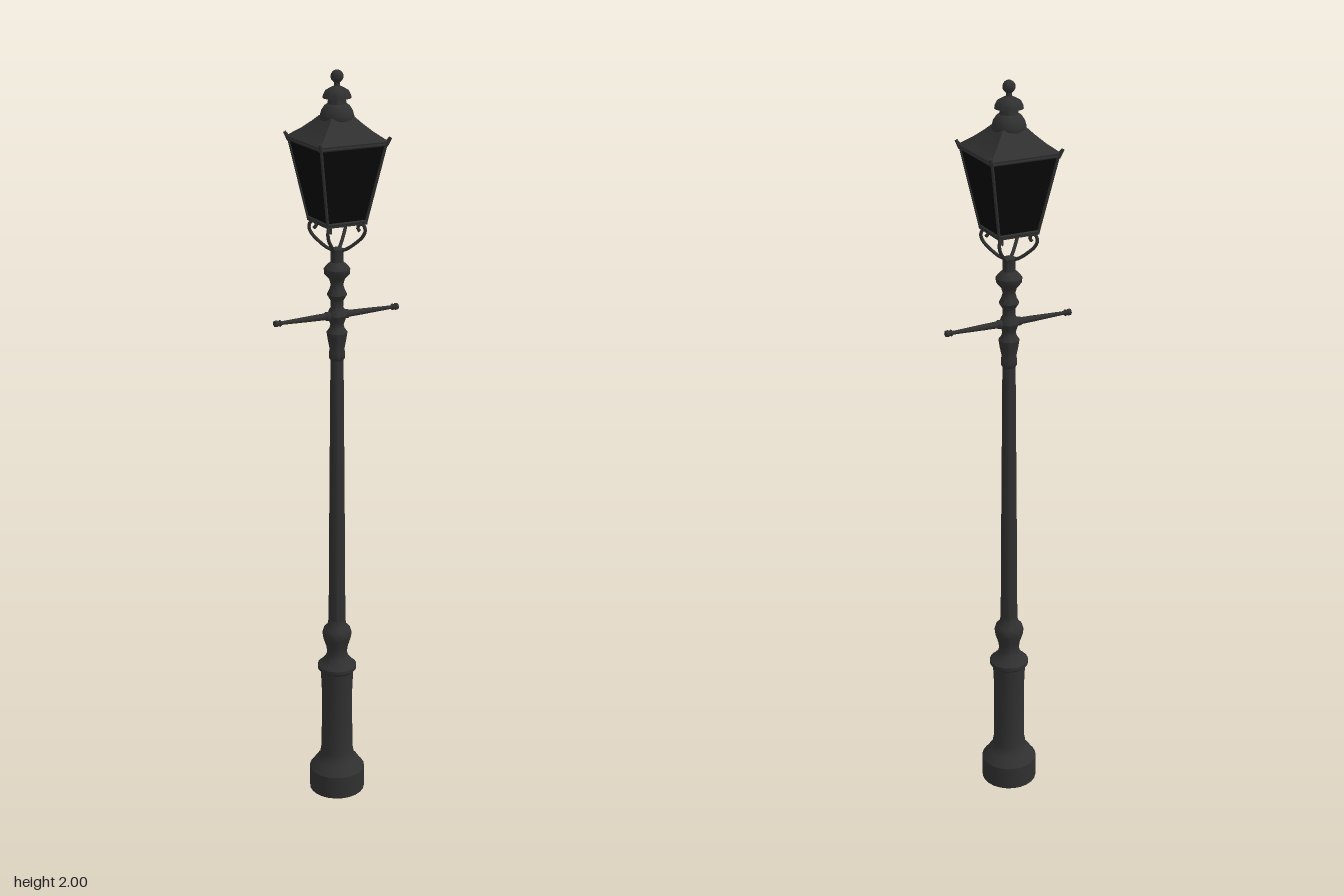
import * as THREE from 'three';
import { toCreasedNormals } from 'three/addons/utils/BufferGeometryUtils.js';

const iron = new THREE.MeshStandardMaterial({ color: 0x303030 });
iron.name = 'iron';
const glass = new THREE.MeshStandardMaterial({ color: 0x080808, side: THREE.DoubleSide });
glass.name = 'darkGlass';

const V = (x, y, z) => new THREE.Vector3(x, y, z);

function add(parent, name, geometry, material = iron) {
  const mesh = new THREE.Mesh(geometry, material);
  mesh.name = name;
  parent.add(mesh);
  return mesh;
}

// Turned part from [radius, height] pairs
function turned(profile, sides = 20) {
  const points = profile.map(([r, y]) => new THREE.Vector2(r, y));
  return toCreasedNormals(new THREE.LatheGeometry(points, sides), 0.7);
}

// Four-sided part from [half width, height] pairs
function square(profile) {
  const points = profile.map(([w, y]) => new THREE.Vector2(w * Math.SQRT2, y));
  return toCreasedNormals(new THREE.LatheGeometry(points, 4, Math.PI / 4), 0.6);
}

// Straight bar between two points
function bar(parent, name, a, b, r0, r1 = r0, sides = 8) {
  const mesh = add(parent, name, new THREE.CylinderGeometry(r1, r0, a.distanceTo(b), sides));
  mesh.position.copy(a).add(b).multiplyScalar(0.5);
  mesh.quaternion.setFromUnitVectors(V(0, 1, 0), b.clone().sub(a).normalize());
  return mesh;
}

export function createModel() {
  const model = new THREE.Group();
  model.name = 'streetLamp';

  // Pedestal with plinth, drum and collar
  add(model, 'pedestal', turned([
    [0, 0], [0.076, 0], [0.076, 0.065], [0.07, 0.072], [0.058, 0.09], [0.048, 0.1], [0.046, 0.115],
    [0.043, 0.13], [0.042, 0.3], [0.044, 0.345], [0.045, 0.365], [0.053, 0.373], [0.053, 0.383],
    [0.045, 0.39], [0.032, 0.405], [0.027, 0.42], [0.03, 0.44], [0.038, 0.465], [0.04, 0.48],
    [0.036, 0.493], [0.026, 0.503], [0.023, 0.52],
  ], 24));

  // Tapered shaft
  add(model, 'shaft', turned([[0.023, 0.515], [0.021, 0.8], [0.017, 1.27]], 16));

  // Moulded neck
  add(model, 'neck', turned([
    [0.017, 1.26], [0.021, 1.267], [0.021, 1.28], [0.019, 1.29], [0.024, 1.315], [0.027, 1.335],
    [0.02, 1.345], [0.017, 1.355], [0.021, 1.367], [0.026, 1.38], [0.021, 1.393], [0.016, 1.402],
    [0.017, 1.42], [0.026, 1.435], [0.02, 1.447], [0.016, 1.46], [0.02, 1.475], [0.033, 1.49],
    [0.034, 1.502], [0.026, 1.512], [0.017, 1.52], [0.016, 1.545], [0.018, 1.553], [0, 1.56],
  ]));

  // Ladder rest with knobbed ends
  const ladderRest = new THREE.Group();
  ladderRest.name = 'ladderRest';
  ladderRest.position.y = 1.38;
  for (const side of [-1, 1]) {
    const arm = add(ladderRest, 'ladderArm', turned([
      [0.01, 0], [0.012, 0.03], [0.009, 0.035], [0.008, 0.07], [0.005, 0.15], [0.005, 0.157], [0.009, 0.162],
      [0.006, 0.166], [0.009, 0.17], [0.008, 0.177], [0, 0.181],
    ], 12));
    arm.rotation.z = -side * Math.PI / 2;
  }
  model.add(ladderRest);

  // Lantern body
  const lantern = new THREE.Group();
  lantern.name = 'lantern';
  model.add(lantern);
  const bottom = 0.054, top = 0.09, y0 = 1.63, y1 = 1.83;
  add(lantern, 'panes', square([[bottom, y0], [top, y1]]), glass);
  add(lantern, 'floor', square([[0, 1.622], [0.056, 1.622], [0.057, 1.632], [0, 1.632]]));

  // Roof, chimney cap and ball
  add(lantern, 'roof', square([
    [0, 1.822], [0.092, 1.822], [0.095, 1.832], [0.088, 1.837], [0.066, 1.854], [0.046, 1.873], [0.032, 1.888],
  ]));
  add(lantern, 'cap', turned([
    [0.036, 1.872], [0.043, 1.882], [0.043, 1.888], [0.039, 1.902], [0.031, 1.914], [0.024, 1.918],
    [0.022, 1.93], [0.036, 1.932], [0.035, 1.938], [0.029, 1.95], [0.017, 1.957], [0.008, 1.961],
    [0.007, 1.97],
  ]));
  const ball = add(lantern, 'ball', new THREE.SphereGeometry(0.016, 16, 12));
  ball.position.y = 1.984;

  // Corner posts, rails, ear finials and scroll brackets
  for (let i = 0; i < 4; i++) {
    const corner = new THREE.Group();
    corner.name = 'lanternCorner';
    corner.rotation.y = i * Math.PI / 2;
    lantern.add(corner);
    bar(corner, 'post', V(bottom, y0, bottom), V(top, y1, top), 0.004);
    bar(corner, 'topRail', V(-top, 1.825, top), V(top, 1.825, top), 0.005);
    bar(corner, 'bottomRail', V(-bottom, y0, bottom), V(bottom, y0, bottom), 0.004);
    bar(corner, 'ear', V(0.088, 1.823, 0.088), V(0.097, 1.842, 0.097), 0.007, 0.004);
    const path = [
      [0.014, 1.55], [0.028, 1.556], [0.05, 1.572], [0.068, 1.59], [0.074, 1.606],
      [0.068, 1.62], [0.058, 1.619], [0.055, 1.609], [0.061, 1.603],
    ].map(([d, y]) => V(d * Math.SQRT1_2, y, d * Math.SQRT1_2));
    add(corner, 'bracket', new THREE.TubeGeometry(new THREE.CatmullRomCurve3(path), 28, 0.0045, 7));
  }

  return model;
}
